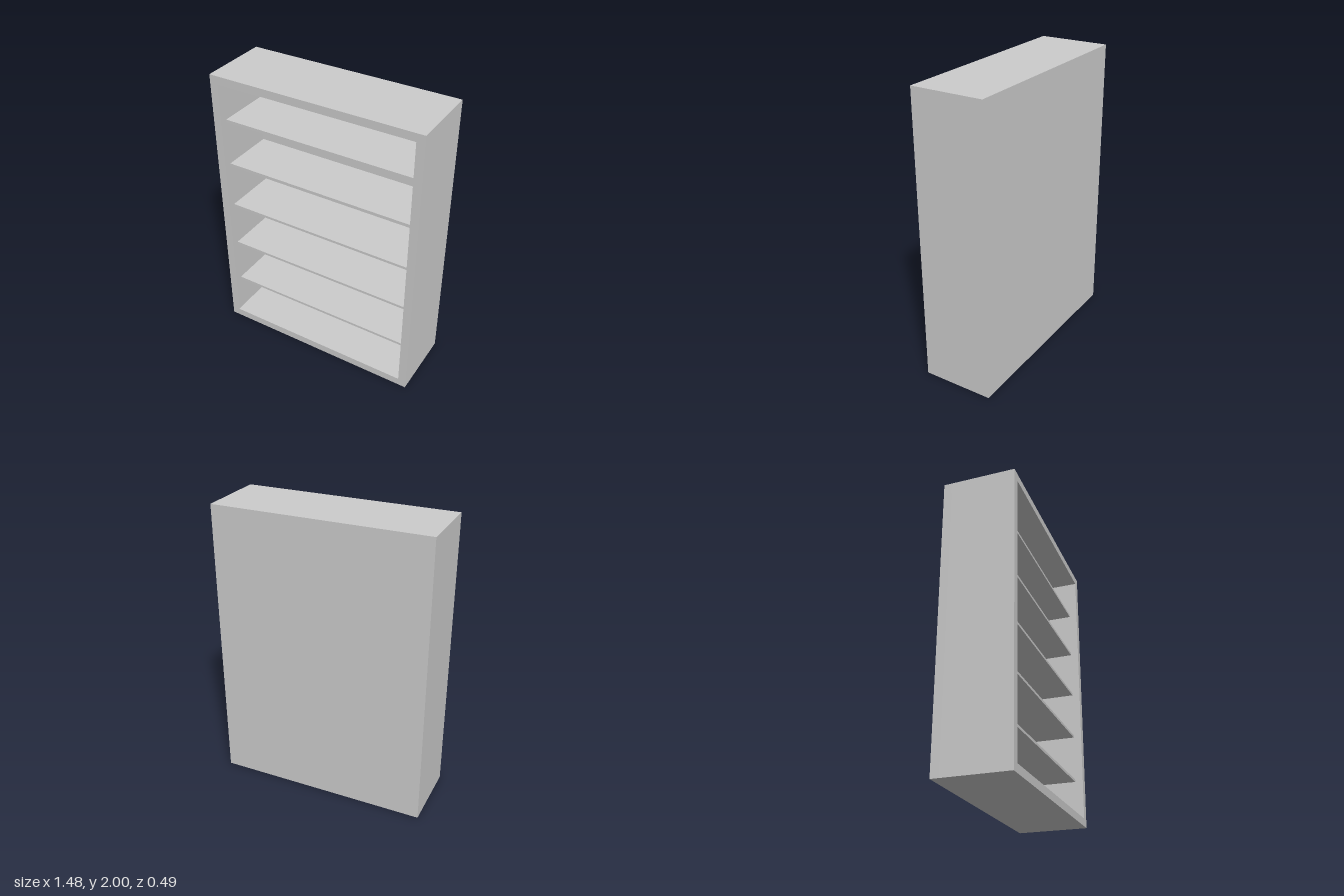
import * as THREE from 'three';

const WIDTH = 1.48, HEIGHT = 2, DEPTH = 0.494, WALL = 0.055;
const SHELVES = 5, SHELF_THICKNESS = 0.018;

export function createModel() {
  const model = new THREE.Group();
  model.name = 'bookcase';
  const material = new THREE.MeshStandardMaterial({ color: 0xcccccc, flatShading: true });

  const add = (name, geometry, x, y, z) => {
    const mesh = new THREE.Mesh(geometry, material);
    mesh.name = name;
    mesh.position.set(x, y, z);
    model.add(mesh);
  };
  const rectangle = (target, w, y0, y1) => target
    .moveTo(-w / 2, y0).lineTo(w / 2, y0).lineTo(w / 2, y1).lineTo(-w / 2, y1).closePath();

  // Outer frame: sides, top and bottom around one opening
  const innerWidth = WIDTH - 2 * WALL;
  const outline = rectangle(new THREE.Shape(), WIDTH, 0, HEIGHT);
  outline.holes.push(rectangle(new THREE.Path(), innerWidth, WALL, HEIGHT - WALL));
  const frame = new THREE.ExtrudeGeometry(outline, { depth: DEPTH - WALL, bevelEnabled: false });
  const backZ = -DEPTH / 2 + WALL;
  add('frame', frame, 0, 0, backZ);

  // Solid back
  add('backPanel', new THREE.BoxGeometry(WIDTH, HEIGHT, WALL), 0, HEIGHT / 2, backZ - WALL / 2);

  // Evenly spaced shelves, set back from the front edge
  const shelf = new THREE.BoxGeometry(innerWidth, SHELF_THICKNESS, DEPTH - 2 * WALL);
  for (let i = 1; i <= SHELVES; i++) {
    add(`shelf${i}`, shelf, 0, (i * HEIGHT) / (SHELVES + 1) - 0.003, 0);
  }
  return model;
}
